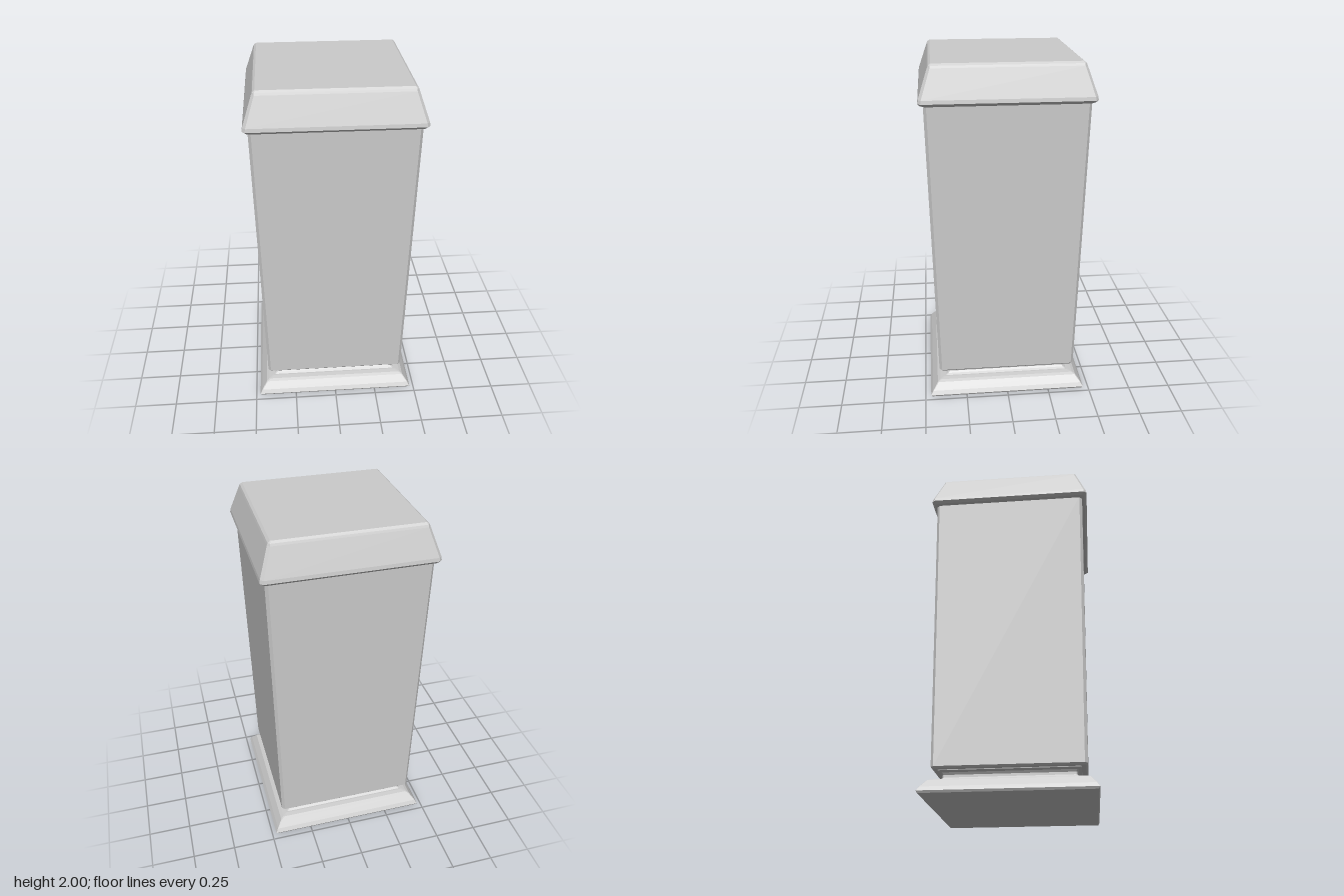
import * as THREE from 'three';

const material = new THREE.MeshStandardMaterial({ color: 0xcccccc, flatShading: true });
const DEPTH_INSET = 0.008; // slightly shallower than wide

// Stack of chamfered rectangles; each row is [half width, height, corner chamfer], bottom to top
function loft(name, rows) {
  const rings = rows.map(([x, y, c]) => {
    const z = x - DEPTH_INSET;
    return [
      [x, z - c], [x, -z + c], [x - c, -z], [-x + c, -z],
      [-x, -z + c], [-x, z - c], [-x + c, z], [x - c, z],
    ].map(([px, pz]) => new THREE.Vector3(px, y, pz));
  });
  const points = [];
  const n = 8;
  for (let r = 0; r < rings.length - 1; r++) {
    const a = rings[r], b = rings[r + 1];
    for (let i = 0; i < n; i++) {
      const j = (i + 1) % n;
      points.push(a[i], a[j], b[j], a[i], b[j], b[i]);
    }
  }
  // Closed ends
  const bottom = rings[0], top = rings[rings.length - 1];
  for (let i = 1; i < n - 1; i++) {
    points.push(bottom[0], bottom[i + 1], bottom[i]);
    points.push(top[0], top[i], top[i + 1]);
  }
  const geometry = new THREE.BufferGeometry().setFromPoints(points);
  geometry.computeVertexNormals();
  const mesh = new THREE.Mesh(geometry, material);
  mesh.name = name;
  return mesh;
}

export function createModel() {
  const model = new THREE.Group();
  model.name = 'pedestalBin';

  // Flared foot with a softened shoulder
  model.add(loft('foot', [
    [0.468, 0, 0.002], [0.475, 0.012, 0.002], [0.462, 0.035, 0.003],
    [0.432, 0.075, 0.005], [0.415, 0.083, 0.006], [0.39, 0.087, 0.006],
  ]));

  // Recessed neck, hollowed between foot and body
  model.add(loft('neck', [
    [0.385, 0.085, 0.006], [0.37, 0.094, 0.006], [0.362, 0.104, 0.006],
    [0.362, 0.118, 0.006], [0.37, 0.13, 0.006], [0.385, 0.138, 0.006],
    [0.388, 0.15, 0.006],
  ]));

  // Body tapering toward the foot
  model.add(loft('body', [
    [0.41, 0.142, 0.012], [0.419, 0.152, 0.016], [0.453, 1.79, 0.016],
  ]));

  // Sloped lid with bevelled rims
  model.add(loft('lid', [
    [0.45, 1.783, 0.014], [0.468, 1.79, 0.016], [0.481, 1.804, 0.016],
    [0.478, 1.824, 0.016], [0.425, 1.978, 0.014], [0.42, 1.99, 0.01],
    [0.407, 2, 0.003],
  ]));

  return model;
}
